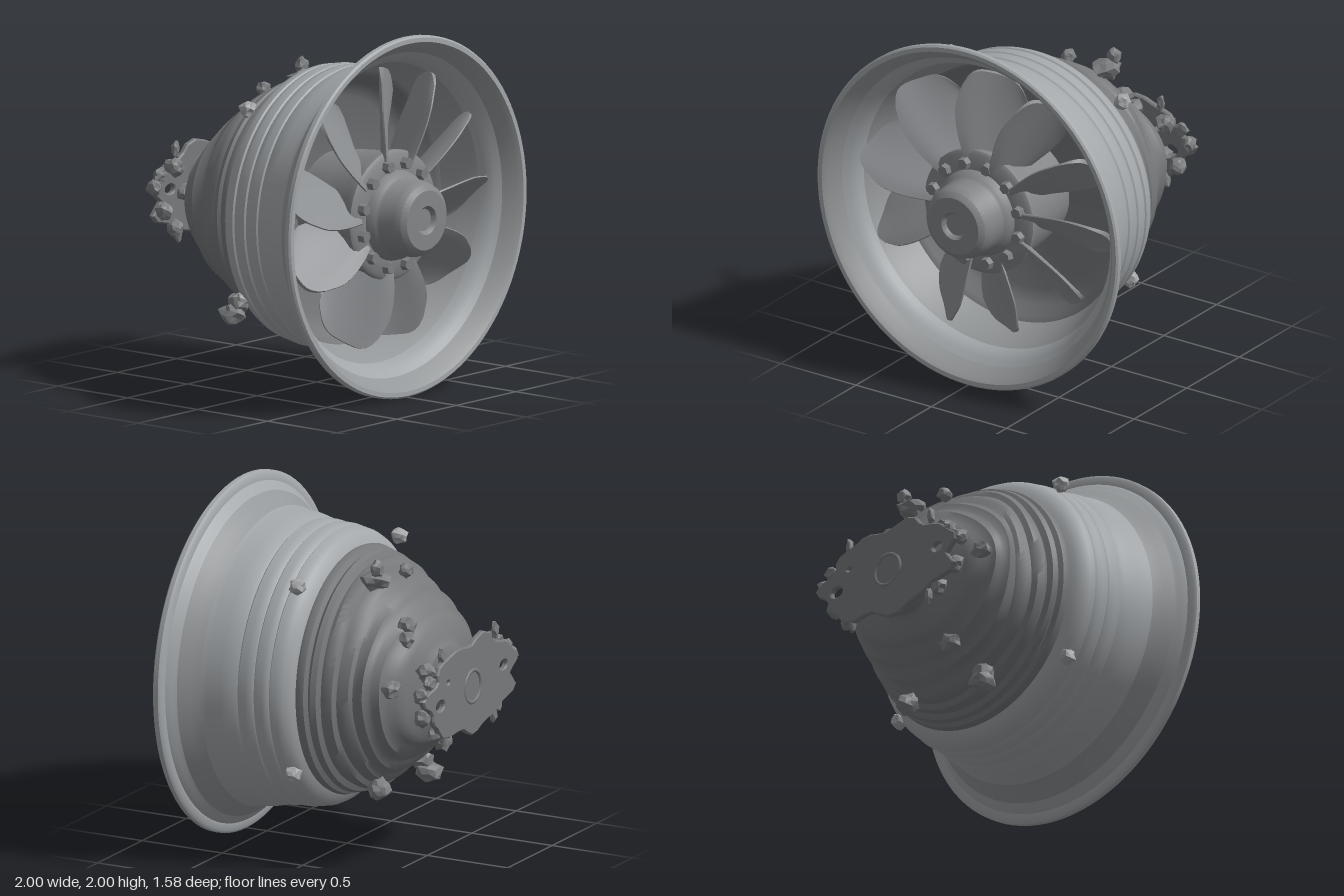
import * as THREE from 'three';
import { toCreasedNormals } from 'three/addons/utils/BufferGeometryUtils.js';

const paint = (color, flatShading = false) =>
  new THREE.MeshStandardMaterial({ color, flatShading, side: THREE.DoubleSide });
const shellGrey = paint(0xa3a7aa);
const ductGrey = paint(0x949799);
const innerGrey = paint(0x747678);
const rearGrey = paint(0x77797b);
const bladeGrey = paint(0x8b8e91);
const hubGrey = paint(0x838587);
const studGrey = paint(0xa3a5a7, true);
const fittingGrey = paint(0x7c7e80, true);

// Moves every vertex of a geometry by a rule
function warp(geo, rule) {
  const p = geo.attributes.position, v = new THREE.Vector3();
  for (let i = 0; i < p.count; i++) {
    v.fromBufferAttribute(p, i);
    rule(v);
    p.setXYZ(i, v.x, v.y, v.z);
  }
  return geo;
}

// Turns a [radius, z] profile around the z axis
function turned(profile, segments) {
  const pts = profile.map(([r, z]) => new THREE.Vector2(r, z));
  return new THREE.LatheGeometry(pts, segments).rotateX(Math.PI / 2);
}

function part(parent, name, geo, mat) {
  const mesh = new THREE.Mesh(geo, mat);
  mesh.name = name;
  parent.add(mesh);
  return mesh;
}

// Irregular chunk: position and half sizes
function lump(parent, name, mat, x, y, z, sx, sy = sx, sz = sx) {
  const geo = warp(new THREE.IcosahedronGeometry(1, 1), v => {
    const k = 1 + 0.2 * Math.sin(v.x * 5 + x * 31) * Math.cos(v.y * 4 + y * 23) + 0.12 * Math.sin(v.z * 6 + z * 17);
    v.multiplyScalar(k);
  });
  const mesh = part(parent, name, geo, mat);
  mesh.position.set(x, y, z);
  mesh.scale.set(sx, sy, sz);
}

// Round-tipped paddle blade growing along +y, pitched around its own axis
function bladeGeometry() {
  const geo = warp(new THREE.BoxGeometry(1, 1, 1, 14, 14, 1), v => {
    const u = v.x * 2, t = v.y + 0.5;
    const half = 0.12 + 0.085 * Math.sin(Math.min(t / 0.75, 1) * Math.PI / 2) - 0.025 * Math.max(0, t - 0.75) / 0.25;
    const thick = 0.004 + 0.018 * (1 - u ** 4) * (1 - 0.5 * t);
    const r = 0.28 + t * (0.56 - 0.04 * (u + 1) - 0.11 * u ** 4);
    const x = u * half + 0.03 * t;
    const z = Math.sign(v.z) * thick - 0.03 * (1 - u * u) * t;
    const a = 0.85 - 0.2 * t;
    v.set(x * Math.cos(a) + z * Math.sin(a), r, z * Math.cos(a) - x * Math.sin(a));
  });
  return toCreasedNormals(geo, 0.7);
}

// Ragged, slightly buckled rear plate with a few holes
function plateGeometry() {
  const outline = [];
  for (let i = 0; i < 48; i++) {
    const a = i / 48 * Math.PI * 2;
    const k = 1 + 0.07 * Math.sin(a * 7 + 1) + 0.05 * Math.sin(a * 11);
    outline.push(new THREE.Vector2(0.48 * k * Math.cos(a), 0.25 * k * Math.sin(a)));
  }
  const shape = new THREE.Shape(outline);
  for (const [x, y, r] of [[-0.36, 0.03, 0.045], [0.37, -0.02, 0.05], [0.28, 0.09, 0.025]]) {
    shape.holes.push(new THREE.Path().absellipse(x, y, r, r * 0.75, 0, Math.PI * 2, true));
  }
  const geo = new THREE.ExtrudeGeometry(shape, {
    depth: 0.02, bevelEnabled: true, bevelSize: 0.008, bevelThickness: 0.008, bevelSegments: 1, curveSegments: 8
  });
  return warp(geo, v => { v.z += 0.008 * Math.sin(v.x * 14) * Math.cos(v.y * 11); });
}

export function createModel() {
  const model = new THREE.Group();
  const engine = new THREE.Group();
  engine.name = 'engine';
  engine.position.y = 1;
  model.add(engine);

  // Neck and ribbed rear cone, wider across than tall and slightly dented
  const step = THREE.MathUtils.smoothstep;
  const cone = warp(turned([
    [0, -0.77], [0.22, -0.77], [0.205, -0.72], [0.2, -0.68], [0.21, -0.62], [0.25, -0.59], [0.32, -0.575],
    [0.35, -0.54], [0.37, -0.51], [0.415, -0.49], [0.44, -0.45], [0.46, -0.43], [0.5, -0.41], [0.52, -0.37],
    [0.54, -0.345], [0.57, -0.33], [0.59, -0.29], [0.595, -0.265], [0.625, -0.25], [0.64, -0.21],
    [0.632, -0.185], [0.662, -0.17], [0.672, -0.14], [0.657, -0.12], [0.683, -0.105], [0.692, -0.075], [0.685, -0.055]
  ], 96), v => {
    const a = Math.atan2(v.y, v.x);
    const wobble = 1 + step(-v.z, 0.1, 0.3) * 0.015 * Math.sin(a * 5 + v.z * 14);
    const widen = 1 + 0.3 * step(-v.z, 0.3, 0.53) * (1 - step(-v.z, 0.55, 0.62));
    v.x *= wobble * widen;
    v.y *= wobble;
  });
  part(engine, 'rearCone', toCreasedNormals(cone, 0.7), rearGrey);

  // Banded shell flaring out to the lip
  const shell = turned([
    [0.685, -0.06], [0.715, -0.045], [0.75, -0.015], [0.767, 0.02], [0.773, 0.055], [0.764, 0.063], [0.774, 0.075],
    [0.782, 0.1], [0.782, 0.145], [0.774, 0.153], [0.782, 0.162], [0.789, 0.2], [0.79, 0.24], [0.783, 0.248],
    [0.795, 0.27], [0.812, 0.34], [0.82, 0.42], [0.838, 0.49], [0.868, 0.54], [0.92, 0.58], [0.945, 0.61],
    [0.985, 0.612], [1, 0.625], [1, 0.65], [0.99, 0.66], [0.965, 0.66]
  ], 96);
  part(engine, 'shell', toCreasedNormals(shell, 0.7), shellGrey);

  // Inner duct and the stepped chamber behind the fan
  const duct = turned([
    [0.965, 0.66], [0.94, 0.635], [0.91, 0.58], [0.86, 0.51], [0.81, 0.42], [0.775, 0.32], [0.75, 0.25]
  ], 96);
  part(engine, 'duct', toCreasedNormals(duct, 0.7), ductGrey);
  const chamber = turned([[0.75, 0.25], [0.72, 0.23], [0.68, 0.16], [0.6, 0.12], [0, 0.12]], 96);
  part(engine, 'fanChamber', toCreasedNormals(chamber, 0.7), innerGrey);

  // Hub: bearing drum, bolted flange and rounded cap with a dimple
  const hub = turned([
    [0.3, 0.1], [0.33, 0.3], [0.345, 0.48], [0.36, 0.52], [0.36, 0.545], [0.34, 0.56], [0.25, 0.565],
    [0.24, 0.6], [0.225, 0.615], [0.215, 0.63], [0.21, 0.72], [0.195, 0.765], [0.165, 0.788],
    [0.08, 0.79], [0.07, 0.78], [0.062, 0.765], [0, 0.765]
  ], 48);
  part(engine, 'hub', toCreasedNormals(hub, 0.6), hubGrey);
  const boltGeo = new THREE.CylinderGeometry(0.032, 0.038, 0.05, 6).rotateX(Math.PI / 2);
  for (let i = 0; i < 12; i++) {
    const a = (i + 0.5) / 12 * Math.PI * 2;
    const bolt = part(engine, 'hubBolt', boltGeo, fittingGrey);
    bolt.position.set(0.29 * Math.cos(a), 0.29 * Math.sin(a), 0.575);
    bolt.rotation.z = a;
  }

  // Ten unevenly worn fan blades: angle in degrees, extra pitch, length
  const blade = bladeGeometry();
  for (const [angle, pitch, length] of [
    [88, -0.1, 1], [61, 0.35, 1], [31, 0.3, 0.99], [0, 0.12, 1], [-34, 0, 0.92],
    [-79, -0.2, 0.88], [-113, 0, 0.92], [-161, 0.05, 0.93], [166, 0.05, 1], [128, -0.1, 0.99]
  ]) {
    const mesh = part(engine, 'fanBlade', blade, bladeGrey);
    mesh.position.z = 0.48;
    mesh.rotation.set(0, pitch, THREE.MathUtils.degToRad(angle - 90), 'ZYX');
    mesh.scale.y = length;
  }

  // Four studs around the shell
  for (const sx of [-1, 1]) {
    lump(engine, 'shellStud', studGrey, sx * 0.57, 0.6, -0.005, 0.045);
    lump(engine, 'shellStud', studGrey, sx * 0.62, -0.45, -0.005, 0.045);
    lump(engine, 'rearFitting', fittingGrey, sx * 0.46, 0.06, -0.53, 0.07, 0.05, 0.045);
  }

  // Fittings on the rear cone: x, y, z, then half sizes
  for (const spec of [
    [0.25, 0.6, -0.31, 0.08, 0.055, 0.08], [0.28, 0.67, -0.34, 0.04, 0.05, 0.035], [-0.03, 0.59, -0.35, 0.04],
    [0.22, 0.36, -0.5, 0.06, 0.05, 0.05], [0.28, 0.3, -0.53, 0.045], [-0.2, -0.4, -0.49, 0.06, 0.05, 0.05],
    [-0.3, -0.62, -0.34, 0.07, 0.06, 0.075], [-0.28, -0.55, -0.31, 0.06], [0.25, -0.58, -0.34, 0.06, 0.06, 0.065]
  ]) lump(engine, 'coneFitting', fittingGrey, ...spec);

  // Ragged mounting plate with a raised ring and clustered fittings at both ends
  part(engine, 'rearPlate', plateGeometry(), rearGrey).position.z = -0.775;
  const ring = part(engine, 'plateRing', new THREE.TorusGeometry(0.09, 0.014, 8, 24), rearGrey);
  ring.position.z = -0.778;
  for (const sx of [-1, 1]) {
    for (const [x, y, z, ...size] of [
      [0.5, 0.06, -0.735, 0.035, 0.045, 0.045], [0.44, -0.08, -0.715, 0.045, 0.05, 0.05],
      [0.37, 0.16, -0.7, 0.05, 0.05, 0.06], [0.33, -0.19, -0.73, 0.05, 0.05, 0.04],
      [0.43, 0.12, -0.755, 0.05, 0.04, 0.025], [0.3, 0.24, -0.755, 0.022, 0.05, 0.02],
      [0.28, -0.23, -0.755, 0.022, 0.05, 0.02]
    ]) lump(engine, 'plateFitting', fittingGrey, sx * x, y, z, ...size);
  }
  return model;
}
